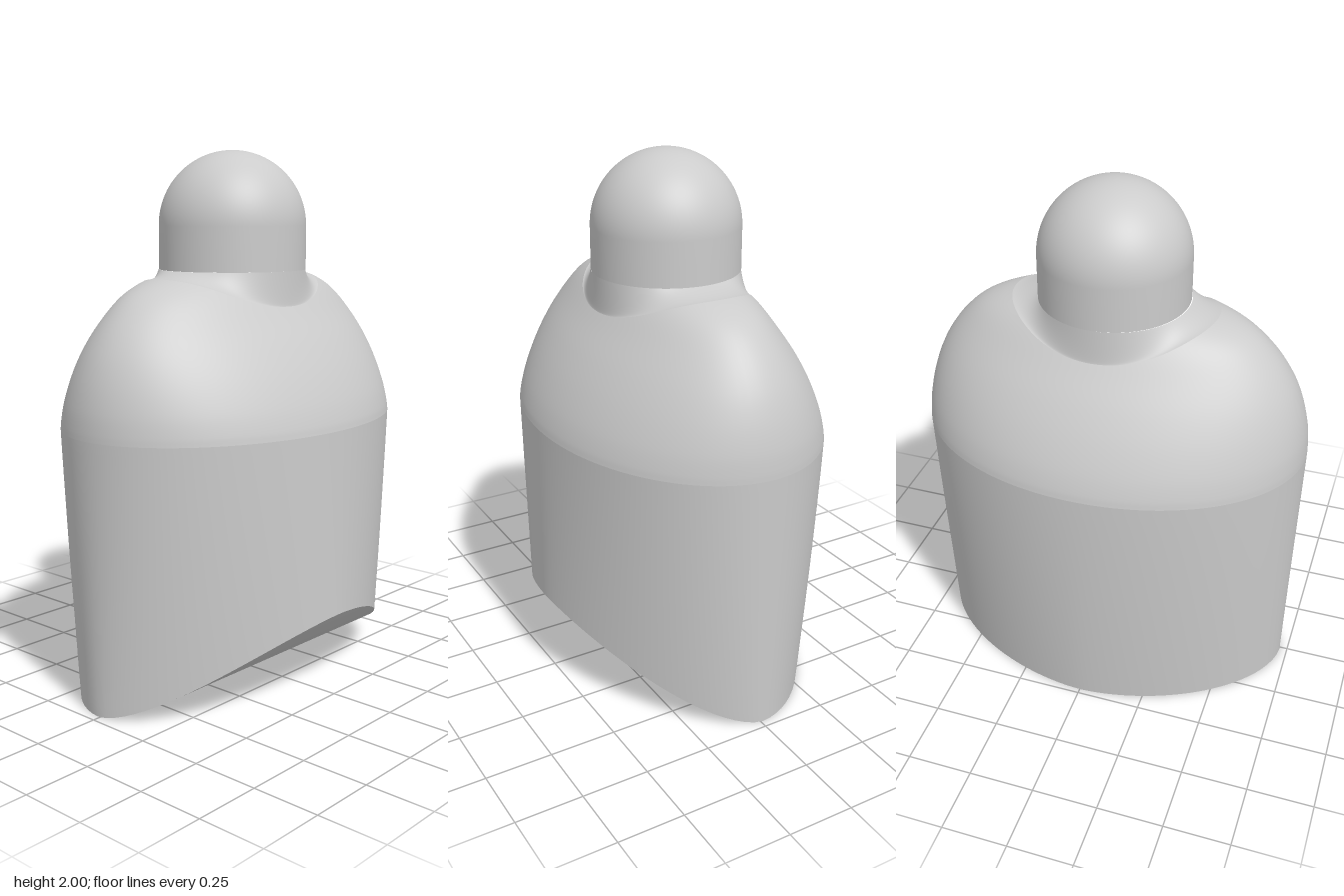
import * as THREE from 'three';

const AXIS_X = -0.01; // the body sits slightly off centre
const SEG = 128;
const NECK_R = 0.277, NECK_Y = 1.56, SHOULDER_Y = 1;

const material = new THREE.MeshStandardMaterial({ color: 0xcccccc });
const lerp = THREE.MathUtils.lerp;

// Surface of closed rings: point(angle, t) runs from t = 0 to t = 1
function loft(name, rows, point) {
  const positions = [], index = [];
  for (let i = 0; i <= rows; i++) {
    for (let j = 0; j < SEG; j++) positions.push(...point((j / SEG) * Math.PI * 2, i / rows));
  }
  for (let i = 0; i < rows; i++) {
    for (let j = 0; j < SEG; j++) {
      const k = (j + 1) % SEG;
      const a = i * SEG + j, b = i * SEG + k, c = a + SEG, d = b + SEG;
      index.push(a, b, c, b, d, c);
    }
  }
  const geometry = new THREE.BufferGeometry();
  geometry.setAttribute('position', new THREE.Float32BufferAttribute(positions, 3));
  geometry.setIndex(index);
  geometry.computeVertexNormals();
  const mesh = new THREE.Mesh(geometry, material);
  mesh.name = name;
  return mesh;
}

// Distance from the axis to an oval in a given direction (power 2 is an ellipse)
function ovalRadius(angle, hx, hz, power = 2) {
  const u = Math.abs(Math.cos(angle)) / hx, v = Math.abs(Math.sin(angle)) / hz;
  return Math.pow(u ** power + v ** power, -1 / power);
}
const polar = (angle, r, y) => [AXIS_X + r * Math.cos(angle), y, r * Math.sin(angle)];

// Shoulder half-widths: x = half width, y = height, z = half depth
const shoulderCurve = new THREE.CatmullRomCurve3([
  [0.517, 1, 0.74], [0.511, 1.03, 0.739], [0.488, 1.1, 0.732], [0.441, 1.2, 0.709], [0.381, 1.3, 0.669],
  [0.309, 1.4, 0.603], [0.25, 1.48, 0.518], [0.205, 1.53, 0.41], [0.16, 1.56, 0.27],
].map((p) => new THREE.Vector3(...p)));

function shoulderRadius(angle, t) {
  const p = shoulderCurve.getPoint(t);
  return ovalRadius(angle, p.x, p.z);
}

// Oval seam where the collar meets the shoulder
const seamRadius = (angle) => ovalRadius(angle, 0.285, 0.385);
function seamParam(angle) {
  let lo = 0, hi = 1;
  for (let n = 0; n < 30; n++) {
    const mid = (lo + hi) / 2;
    if (shoulderRadius(angle, mid) > seamRadius(angle)) lo = mid;
    else hi = mid;
  }
  return lo;
}

// Lower wall: the right side narrows downwards, the left side widens a little,
// and the section grows more pointed towards the bottom
function wallRadius(angle, y) {
  const d = SHOULDER_Y - y;
  const right = Math.cos(angle) < 0;
  const hx = right ? 0.517 - 0.047 * Math.pow(d, 1.7) : 0.517 + 0.027 * d;
  const power = 2 - (right ? 0.24 : 0.42) * d;
  return ovalRadius(angle, hx, 0.74 - 0.02 * d, power);
}

// The underside is flat on one half and sweeps up on the other
const undersideY = (x) => 0.32 * Math.pow(Math.max(x, 0) / 0.525, 1.6);
function rimY(angle) {
  let y = 0;
  for (let n = 0; n < 10; n++) y = undersideY(polar(angle, wallRadius(angle, y), y)[0]);
  return y;
}

export function createModel() {
  const model = new THREE.Group();
  model.name = 'roundedBottle';

  // Domed cap with a straight lower part
  const profile = [new THREE.Vector2(NECK_R, NECK_Y), new THREE.Vector2(NECK_R, 1.64)];
  for (let i = 0; i <= 32; i++) {
    const a = (i / 32) * Math.PI / 2;
    profile.push(new THREE.Vector2(NECK_R * Math.cos(a), 2 - NECK_R + NECK_R * Math.sin(a)));
  }
  const cap = new THREE.Mesh(new THREE.LatheGeometry(profile, 96), material);
  cap.position.set(AXIS_X, 0, -0.003);
  cap.name = 'domedCap';
  model.add(cap);

  // Collar flaring from the round neck to the oval seam
  model.add(loft('collar', 12, (angle, t) => {
    const y = shoulderCurve.getPoint(seamParam(angle)).y;
    const r = lerp(NECK_R, seamRadius(angle), t);
    return polar(angle, r, lerp(NECK_Y, y, 1 - (1 - t) ** 1.6));
  }));

  // Rounded shoulder from the seam down to the widest section
  model.add(loft('shoulder', 32, (angle, t) => {
    const s = seamParam(angle) * (1 - t);
    return polar(angle, shoulderRadius(angle, s), shoulderCurve.getPoint(s).y);
  }));

  // Oval wall down to the swept rim
  model.add(loft('wall', 24, (angle, t) => {
    const y = lerp(SHOULDER_Y, rimY(angle), t);
    return polar(angle, wallRadius(angle, y), y);
  }));

  // Underside closing the rim
  model.add(loft('underside', 24, (angle, t) => {
    const p = polar(angle, wallRadius(angle, rimY(angle)) * (1 - t), 0);
    p[1] = undersideY(p[0]);
    return p;
  }));

  return model;
}
